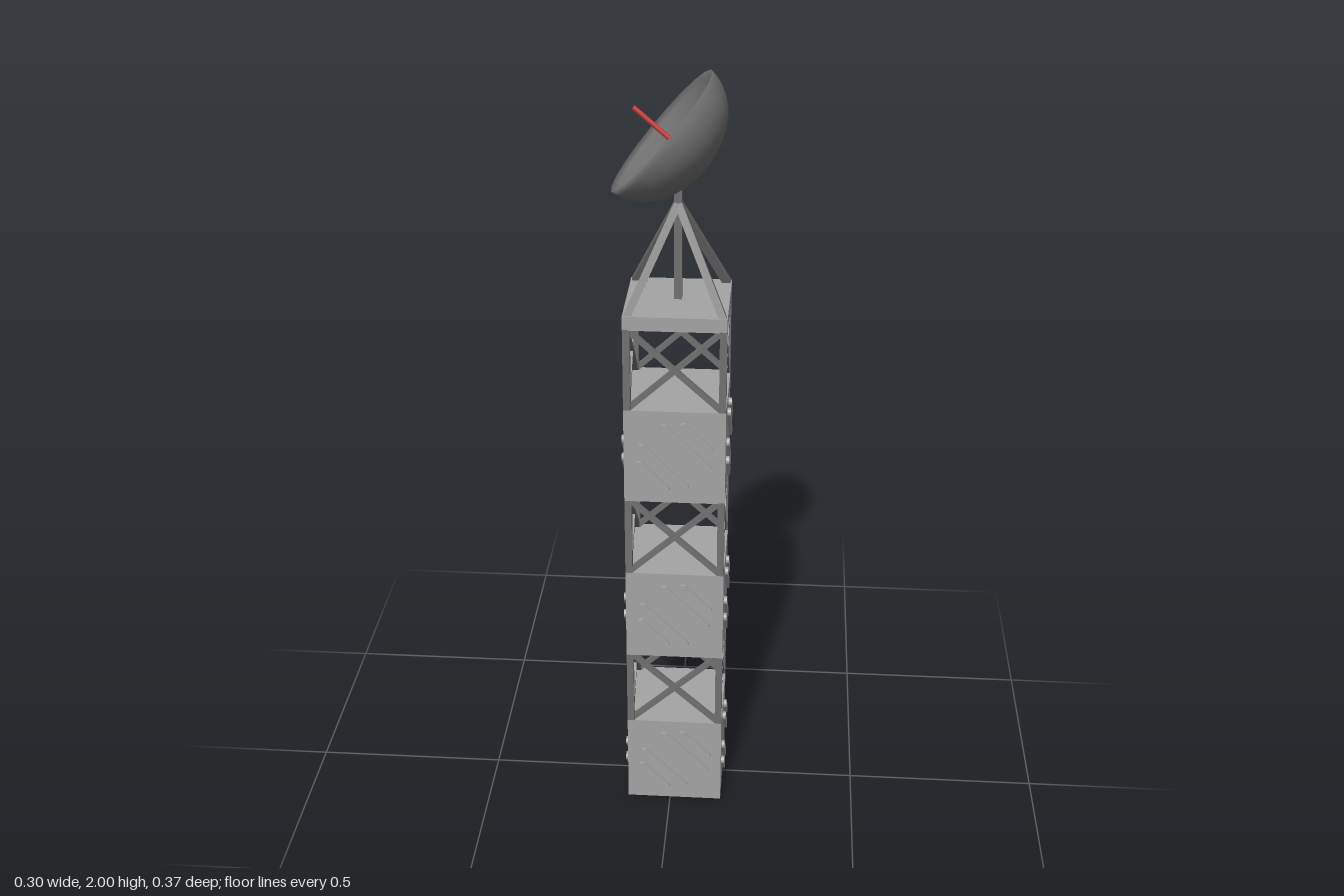
import * as THREE from 'three';

const panelGrey = new THREE.MeshStandardMaterial({ color: 0xa4a4a4 });
const darkGrey = new THREE.MeshStandardMaterial({ color: 0x707070 });
const red = new THREE.MeshStandardMaterial({ color: 0xc83c3c });
const HALF = 0.127; // half width of the tower
const BOX = 0.255; // height of a solid module
const STEP = 0.468; // module plus lattice bay

function add(parent, name, geometry, material) {
  const mesh = new THREE.Mesh(geometry, material);
  mesh.name = name;
  parent.add(mesh);
  return mesh;
}

// Square strut between two points
function strut(parent, name, a, b, width) {
  const from = new THREE.Vector3(...a), to = new THREE.Vector3(...b);
  const dir = to.clone().sub(from);
  const mesh = add(parent, name, new THREE.BoxGeometry(width, dir.length(), width), darkGrey);
  mesh.position.copy(from).add(to).multiplyScalar(0.5);
  mesh.quaternion.setFromUnitVectors(new THREE.Vector3(0, 1, 0), dir.normalize());
}

// Diagonal round-ended rib that runs right through a module, showing on two faces
function ribGeometry(length, offset) {
  const r = 0.011, h = length / 2 - r;
  const shape = new THREE.Shape();
  shape.absarc(h, 0, r, -Math.PI / 2, Math.PI / 2, false);
  shape.absarc(-h, 0, r, Math.PI / 2, Math.PI * 1.5, false);
  const depth = 2 * HALF + 0.017;
  return new THREE.ExtrudeGeometry(shape, { depth, bevelEnabled: false, curveSegments: 6 })
    .translate(0, 0, -depth / 2)
    .rotateZ(-Math.PI / 4)
    .translate(offset, offset, 0);
}

function solidModule() {
  const group = new THREE.Group();
  group.name = 'solidModule';
  add(group, 'moduleBox', new THREE.BoxGeometry(2 * HALF, BOX, 2 * HALF), panelGrey);
  for (const turn of [0, Math.PI / 2]) {
    for (const [length, offset] of [[0.175, 0.028], [0.175, -0.028], [0.115, 0.055], [0.115, -0.055]]) {
      add(group, 'diagonalRib', ribGeometry(length, offset), panelGrey).rotation.y = turn;
    }
  }
  return group;
}

// Four corner posts with crossed braces on each side
function latticeBay(y0, y1) {
  const group = new THREE.Group();
  group.name = 'latticeBay';
  const p = HALF - 0.009;
  for (let i = 0; i < 4; i++) {
    const side = new THREE.Group();
    side.name = 'latticeSide';
    side.rotation.y = i * Math.PI / 2;
    strut(side, 'cornerPost', [p, y0, p], [p, y1, p], 0.018);
    strut(side, 'crossBrace', [-p, y0, p], [p, y1, p], 0.013);
    strut(side, 'crossBrace', [p, y0, p], [-p, y1, p], 0.013);
    group.add(side);
  }
  return group;
}

function dish() {
  const group = new THREE.Group();
  group.name = 'dish';
  const R = 0.183, depth = 0.136;
  // Rounded bowl running over the rim into a shallow, nearly conical face
  const profile = [];
  for (let i = 0; i <= 14; i++) {
    const a = (i / 14) * Math.PI / 2;
    profile.push(new THREE.Vector2(R * Math.sin(a), -depth * Math.cos(a)));
  }
  for (const [x, y] of [[0.172, -0.012], [0.12, -0.043], [0.06, -0.07], [0, -0.09]]) {
    profile.push(new THREE.Vector2(x, y));
  }
  add(group, 'dishBowl', new THREE.LatheGeometry(profile, 20), darkGrey);
  add(group, 'feedRod', new THREE.CylinderGeometry(0.006, 0.006, 0.178, 10), red).position.y = -0.004;
  return group;
}

export function createModel() {
  const model = new THREE.Group();
  model.name = 'antennaTower';

  const tower = new THREE.Group();
  tower.name = 'tower';
  tower.position.x = 0.012;
  model.add(tower);

  // Stacked modules and lattice bays
  for (let i = 0; i < 3; i++) {
    const box = solidModule();
    box.position.y = i * STEP + BOX / 2;
    tower.add(box, latticeBay(i * STEP + BOX, (i + 1) * STEP + 0.003));
  }

  // Top plate, corner legs and mast
  add(tower, 'topPlate', new THREE.BoxGeometry(2 * HALF, 0.036, 2 * HALF), panelGrey).position.y = 1.423;
  const c = HALF - 0.01;
  for (const sx of [-1, 1]) {
    for (const sz of [-1, 1]) {
      strut(tower, 'supportLeg', [sx * c, 1.435, sz * c], [0, 1.685, 0], 0.019);
    }
  }
  strut(tower, 'mast', [0, 1.44, 0], [0, 1.74, 0], 0.019);

  // Tilted dish
  const bowl = dish();
  bowl.position.set(-0.029, 1.861, 0);
  bowl.rotation.z = 0.863;
  model.add(bowl);
  return model;
}
